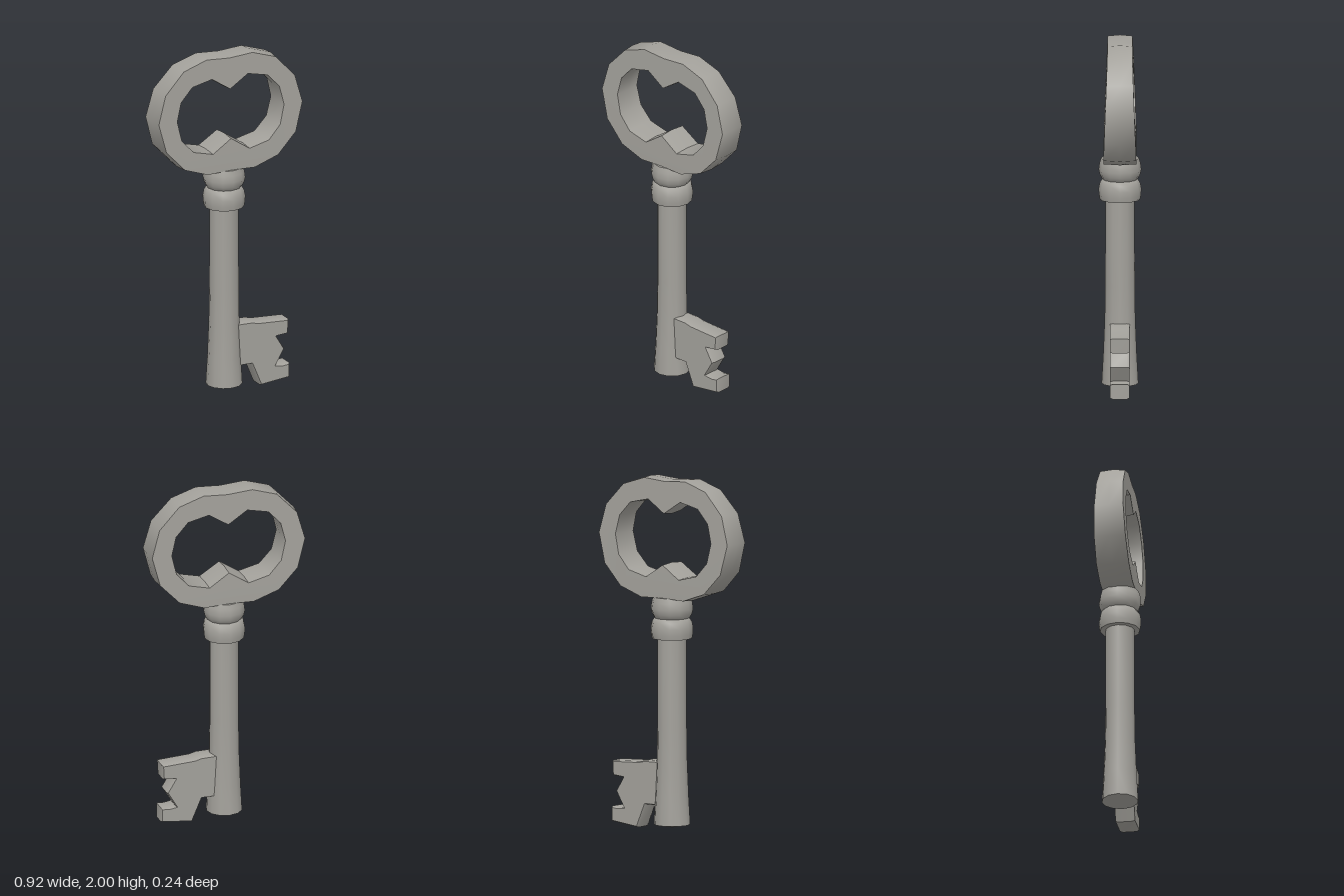
import * as THREE from 'three';
import { toCreasedNormals } from 'three/addons/utils/BufferGeometryUtils.js';

const iron = new THREE.MeshStandardMaterial({ color: 0xa3a19b });
iron.name = 'grey iron';

const points = (list) => list.map(([x, y]) => new THREE.Vector2(x, y));

function part(name, geometry, crease) {
  const mesh = new THREE.Mesh(toCreasedNormals(geometry, crease), iron);
  mesh.name = name;
  return mesh;
}

// Twelve-sided turned part, profile listed from bottom to top
const turned = (name, profile) =>
  part(name, new THREE.LatheGeometry(points(profile), 12), 0.9);

// Slab centred on z = 0 with slightly swollen side walls
function slab(shape, halfDepth, bevelDepth) {
  const depth = 2 * (halfDepth - bevelDepth);
  const geometry = new THREE.ExtrudeGeometry(shape, {
    depth, bevelEnabled: true, bevelThickness: bevelDepth,
    bevelSize: 0.006, bevelOffset: -0.006, bevelSegments: 1,
  });
  return geometry.translate(0, 0, -depth / 2);
}

// Closes a right-hand outline (top to bottom) by mirroring it to the left
function mirrored(half) {
  const left = half.slice(1, -1).reverse().map(([x, y]) => [-x, y]);
  return points([...half, ...left]);
}

function createBow() {
  // Outline runs counter-clockwise, the opening clockwise
  const shape = new THREE.Shape(mirrored([
    [0, 1.99], [0.145, 2], [0.292, 1.952], [0.412, 1.825], [0.458, 1.66],
    [0.412, 1.487], [0.297, 1.366], [0.147, 1.314], [0, 1.32],
  ]).reverse());
  shape.holes.push(new THREE.Path(mirrored([
    [0, 1.795], [0.114, 1.869], [0.234, 1.842], [0.304, 1.766], [0.33, 1.66],
    [0.304, 1.549], [0.234, 1.472], [0.116, 1.443], [0, 1.519],
  ])));
  const geometry = slab(shape, 0.092, 0.091);
  // The handle grows thinner towards the top
  const p = geometry.attributes.position;
  for (let i = 0; i < p.count; i++) {
    const t = THREE.MathUtils.clamp((p.getY(i) - 1.4) / 0.6, 0, 1);
    p.setZ(i, p.getZ(i) * (1 - 0.25 * t));
  }
  return part('bow', geometry, 0.7);
}

function createBit() {
  const shape = new THREE.Shape(points([
    [0.04, 0.392], [0.15, 0.39], [0.19, 0.38], [0.382, 0.37], [0.377, 0.285],
    [0.305, 0.28], [0.355, 0.2], [0.3, 0.11], [0.345, 0.105], [0.387, 0.11],
    [0.387, 0.025], [0.205, 0.005], [0.148, 0.14], [0.04, 0.14],
  ]));
  return part('bit', slab(shape, 0.055, 0.015), 0.5);
}

export function createModel() {
  const key = new THREE.Group();
  key.name = 'key';
  key.add(
    createBow(),
    turned('upperCollar', [
      [0.085, 1.195], [0.1, 1.207], [0.113, 1.23], [0.12, 1.26],
      [0.115, 1.295], [0.107, 1.325], [0, 1.328],
    ]),
    turned('lowerCollar', [
      [0.07, 1.09], [0.113, 1.09], [0.118, 1.115], [0.12, 1.15],
      [0.113, 1.185], [0.1, 1.205], [0.08, 1.21],
    ]),
    // Shaft flares towards a shallow pointed end
    turned('shaft', [
      [0, 0.017], [0.103, 0.036], [0.094, 0.2], [0.086, 0.4], [0.083, 0.6], [0.082, 1.1],
    ]),
    createBit(),
  );
  return key;
}
